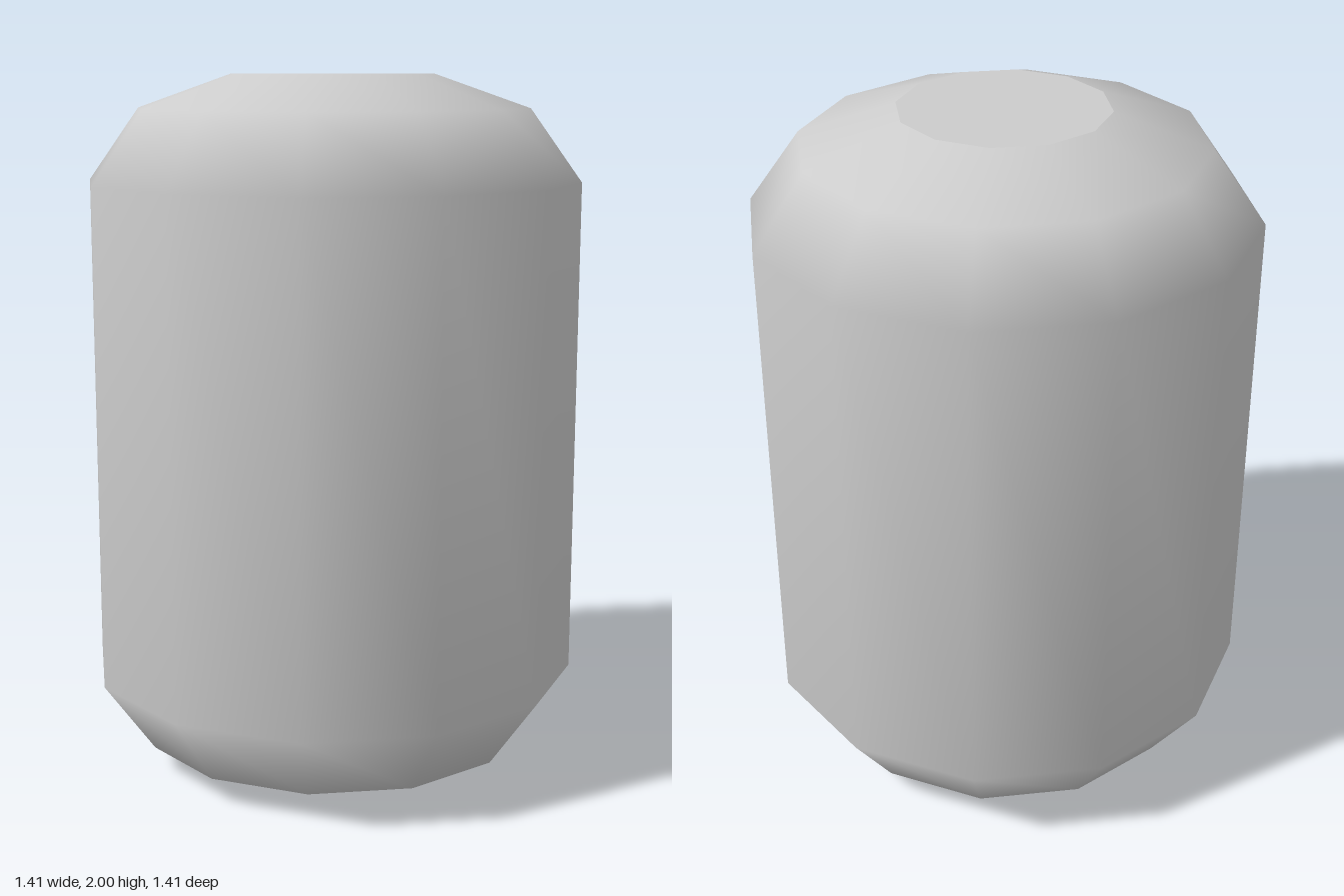
import * as THREE from 'three';

const SIDES = 12;
const material = new THREE.MeshStandardMaterial({ color: 0xcccccc, side: THREE.DoubleSide });

function lathe(profile) {
  return new THREE.LatheGeometry(profile.map(([r, y]) => new THREE.Vector2(r, y)), SIDES);
}

function addPart(group, name, geometry) {
  const mesh = new THREE.Mesh(geometry, material);
  mesh.name = name;
  group.add(mesh);
  return mesh;
}

// Smooth can wall whose lowest band is open over part of one quarter
function wallGeometry() {
  const profile = [[0.37, 0], [0.56, 0.075], [0.707, 0.28], [0.707, 1.7], [0.56, 1.905], [0.29, 2]];
  const geometry = lathe(profile);
  const n = profile.length;
  const index = [];
  for (let i = 0; i < SIDES; i++) {
    for (let j = 0; j < n - 1; j++) {
      const a = i * n + j, b = a + n, c = b + 1, d = a + 1;
      if (j === 0 && i >= 9) {
        // only one triangle remains at the edge of the opening
        if (i === 9) index.push(a, c, d);
      } else {
        index.push(a, b, d, c, d, b);
      }
    }
  }
  geometry.setIndex(index);
  return geometry;
}

export function createModel() {
  const group = new THREE.Group();
  group.name = 'can';

  addPart(group, 'wall', wallGeometry());

  // Flat lid
  const lid = addPart(group, 'lid', new THREE.CircleGeometry(0.29, SIDES));
  lid.rotation.x = -Math.PI / 2;
  lid.position.y = 2;

  // Undercut recess in the base
  addPart(group, 'recessWall', lathe([[0.27, 0.08], [0.4, 0.035], [0.37, 0]]));
  const floor = addPart(group, 'recessFloor', new THREE.CircleGeometry(0.27, SIDES));
  floor.rotation.x = Math.PI / 2;
  floor.position.y = 0.08;

  return group;
}
